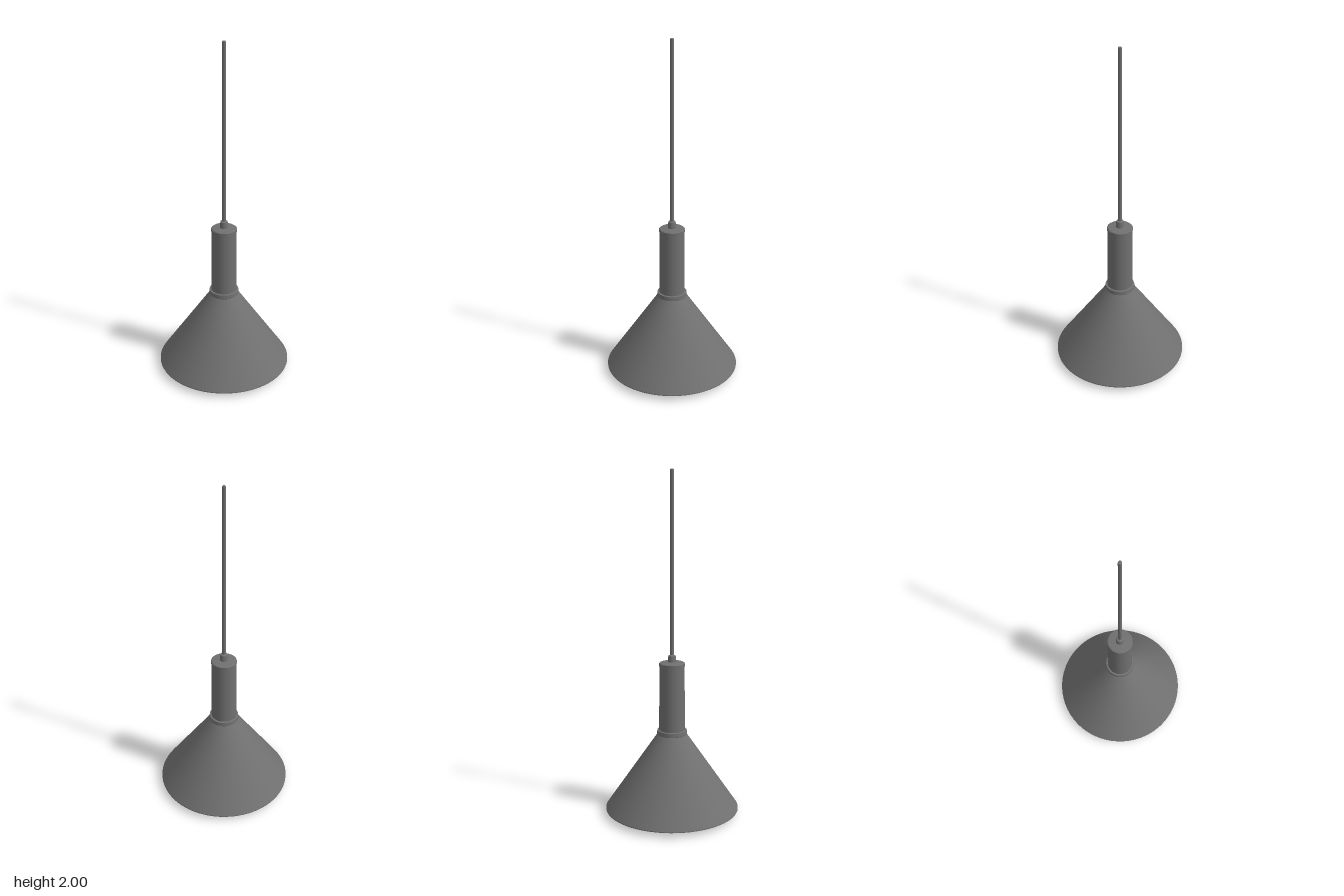
import * as THREE from 'three';
import { mergeGeometries } from 'three/addons/utils/BufferGeometryUtils.js';

const SIDES = 64;

function material(name, color) {
  const m = new THREE.MeshStandardMaterial({ color });
  m.name = name;
  return m;
}

// Smoothly shaded turned part
function lathe(points) {
  return new THREE.LatheGeometry(points.map(([r, y]) => new THREE.Vector2(r, y)), SIDES);
}

// Turned part with a sharp crease at every profile point
function turned(points) {
  return mergeGeometries(points.slice(1).map((p, i) => lathe([points[i], p])));
}

export function createModel() {
  const model = new THREE.Group();
  model.name = 'pendantLamp';
  const grey = material('dark grey metal', 0x707070);
  const pale = material('light grey lining', 0xacacac);
  const glass = material('pale bulb glass', 0xd8d8d8);

  function add(name, geometry, mat) {
    const mesh = new THREE.Mesh(geometry, mat);
    mesh.name = name;
    model.add(mesh);
  }

  // Conical shade: outer skin with bottom rim, and inner lining running up into the stem
  add('shade', turned([[0.372, 0.029], [0.391, 0.029], [0.391, 0.034], [0.083, 0.484]]), grey);
  add('shadeLining', turned([[0, 0.88], [0.067, 0.88], [0.067, 0.478], [0.372, 0.029]]), pale);

  // Collar joining the shade to the stem
  add('collar', turned([[0.084, 0.478], [0.088, 0.482], [0.086, 0.505], [0.074, 0.507]]), grey);

  // Stem with a very slight taper
  add('stem', turned([[0.0755, 0.5], [0.0725, 0.888]]), grey);

  // End cap, a touch wider than the stem
  add('cap', turned([[0.072, 0.886], [0.0745, 0.887], [0.0745, 0.903], [0.069, 0.907]]), grey);
  add('capTop', lathe([[0.069, 0.907], [0.045, 0.909], [0.022, 0.912]]), grey);

  // Cable gland and cord
  add('cableGland', turned([[0.025, 0.905], [0.024, 0.922], [0.021, 0.948], [0.01, 0.953]]), grey);
  add('cord', turned([[0.0105, 0.95], [0.0105, 1.997]]), grey);
  add('cordEnd', lathe([[0.0105, 1.997], [0.008, 2], [0, 2]]), grey);

  // Lamp holder inside the shade
  add('lampHolder', turned([[0, 0.215], [0.047, 0.215], [0.051, 0.22], [0.051, 0.88]]), pale);

  // Bulb: round globe blending into a neck
  const profile = [];
  for (let i = 0; i <= 16; i++) {
    const a = (i / 16) * Math.PI * 0.74;
    profile.push([0.08 * Math.sin(a), 0.08 - 0.08 * Math.cos(a)]);
  }
  profile.push([0.047, 0.152], [0.043, 0.17], [0.041, 0.19], [0.041, 0.22]);
  add('bulb', lathe(profile), glass);

  return model;
}
